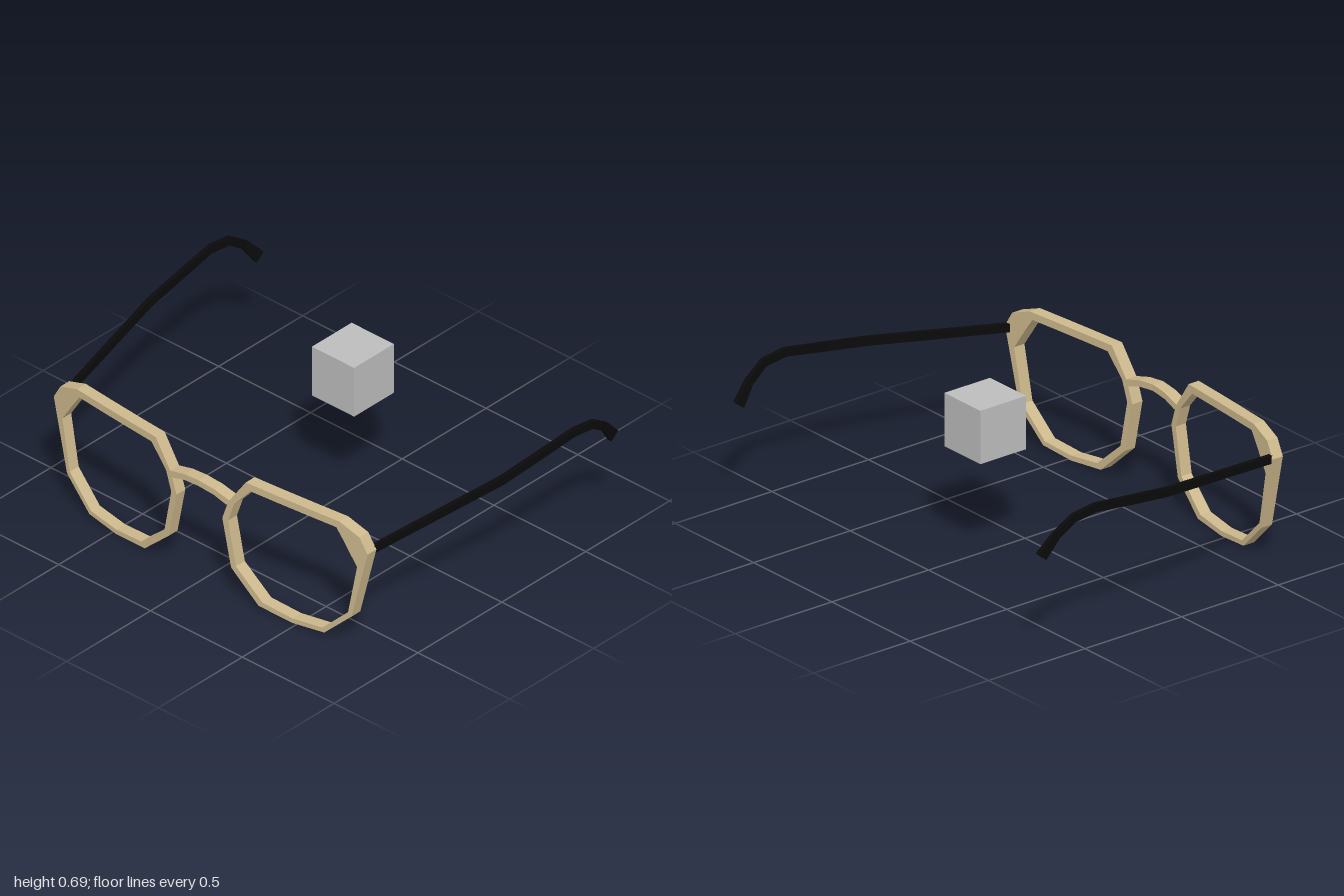
import * as THREE from 'three';

const tan = new THREE.MeshStandardMaterial({ name: 'tan frame', color: 0xcdb88c });
const black = new THREE.MeshStandardMaterial({ name: 'black temple', color: 0x0a0a0a });
const grey = new THREE.MeshStandardMaterial({ name: 'grey block', color: 0xbcbcbc });

// Skin a row of four-cornered sections [x, y, z]; side -1 mirrors it across x = 0.
function loft(sections, closed, side = 1) {
  const pos = [];
  const tri = (a, b, c) => {
    for (const p of side > 0 ? [a, b, c] : [a, c, b]) pos.push(p[0] * side, p[1], p[2]);
  };
  const n = sections.length;
  for (let i = 0; i < (closed ? n : n - 1); i++) {
    const s = sections[i], t = sections[(i + 1) % n];
    for (let j = 0; j < 4; j++) {
      const k = (j + 1) % 4;
      tri(s[j], t[j], t[k]);
      tri(s[j], t[k], s[k]);
    }
  }
  if (!closed) {
    const s = sections[0], e = sections[n - 1];
    tri(s[0], s[1], s[2]);
    tri(s[0], s[2], s[3]);
    tri(e[0], e[2], e[1]);
    tri(e[0], e[3], e[2]);
  }
  const geo = new THREE.BufferGeometry();
  geo.setAttribute('position', new THREE.Float32BufferAttribute(pos, 3));
  geo.computeVertexNormals();
  return geo;
}

// Front surface of the frame sweeps back towards the sides.
const frontZ = (x) => 0.715 - 0.09 * Math.pow(Math.abs(x), 1.3);
const DEPTH = 0.053;

// Section across the frame from an outer and an inner edge point.
function frameSection([ox, oy, ix, iy]) {
  const zo = frontZ(ox), zi = frontZ(ix);
  return [[ox, oy, zo], [ox, oy, zo - DEPTH], [ix, iy, zi - DEPTH], [ix, iy, zi]];
}

// Split every edge so the frame follows the curve.
function subdivide(rows, steps, closed) {
  const out = [];
  const n = rows.length;
  for (let i = 0; i < (closed ? n : n - 1); i++) {
    const a = rows[i], b = rows[(i + 1) % n];
    for (let s = 0; s < steps; s++) out.push(a.map((v, k) => v + (b[k] - v) * s / steps));
  }
  if (!closed) out.push(rows[n - 1]);
  return out;
}

// Lens rim: outer x, y and inner x, y, clockwise from the top near the bridge.
const RIM = [
  [0.245, 0.585, 0.27, 0.552],
  [0.715, 0.585, 0.70, 0.552],
  [0.815, 0.548, 0.735, 0.503],
  [0.855, 0.48, 0.803, 0.40],
  [0.775, 0.15, 0.758, 0.165],
  [0.64, 0.02, 0.63, 0.04],
  [0.48, 0.003, 0.48, 0.025],
  [0.31, 0.017, 0.33, 0.04],
  [0.17, 0.145, 0.195, 0.16],
  [0.125, 0.365, 0.155, 0.365],
  [0.155, 0.455, 0.185, 0.455],
];

// Bridge: top x, y and bottom x, y.
const BRIDGE = [
  [-0.168, 0.462, -0.145, 0.437],
  [-0.08, 0.486, -0.08, 0.458],
  [0, 0.494, 0, 0.466],
  [0.08, 0.486, 0.08, 0.458],
  [0.168, 0.462, 0.145, 0.437],
];

// Temple centre line: x, y, z, height.
const TEMPLE = [
  [0.832, 0.473, 0.62, 0.036],
  [0.96, 0.552, -0.04, 0.038],
  [0.976, 0.578, -0.24, 0.038],
  [0.99, 0.605, -0.44, 0.036],
  [0.99, 0.59, -0.55, 0.036],
  [0.98, 0.532, -0.635, 0.038],
  [0.966, 0.452, -0.7, 0.052],
];

function templeSections() {
  return TEMPLE.map(([x, y, z, h], i) => {
    const a = TEMPLE[Math.max(i - 1, 0)], b = TEMPLE[Math.min(i + 1, TEMPLE.length - 1)];
    const dy = b[1] - a[1], dz = b[2] - a[2], len = Math.hypot(dy, dz);
    const uy = -dz / len * h / 2, uz = dy / len * h / 2, w = 0.01;
    return [
      [x + w, y + uy, z + uz], [x - w, y + uy, z + uz],
      [x - w, y - uy, z - uz], [x + w, y - uy, z - uz],
    ];
  });
}

export function createModel() {
  const group = new THREE.Group();
  group.name = 'eyeglasses';
  const add = (name, geo, mat) => {
    const mesh = new THREE.Mesh(geo, mat);
    mesh.name = name;
    group.add(mesh);
    return mesh;
  };

  // Rims and temples, mirrored
  const rim = subdivide(RIM, 3, true).map(frameSection);
  for (const [label, side] of [['left', 1], ['right', -1]]) {
    add(label + 'Rim', loft(rim, true, side), tan);
    add(label + 'Temple', loft(templeSections(), false, side), black);
  }

  // Bridge between the rims
  add('bridge', loft(subdivide(BRIDGE, 2, false).map(frameSection), false), tan);

  // Block floating between the temples
  add('block', new THREE.BoxGeometry(0.23, 0.235, 0.237), grey).position.set(0, 0.577, -0.206);

  return group;
}
